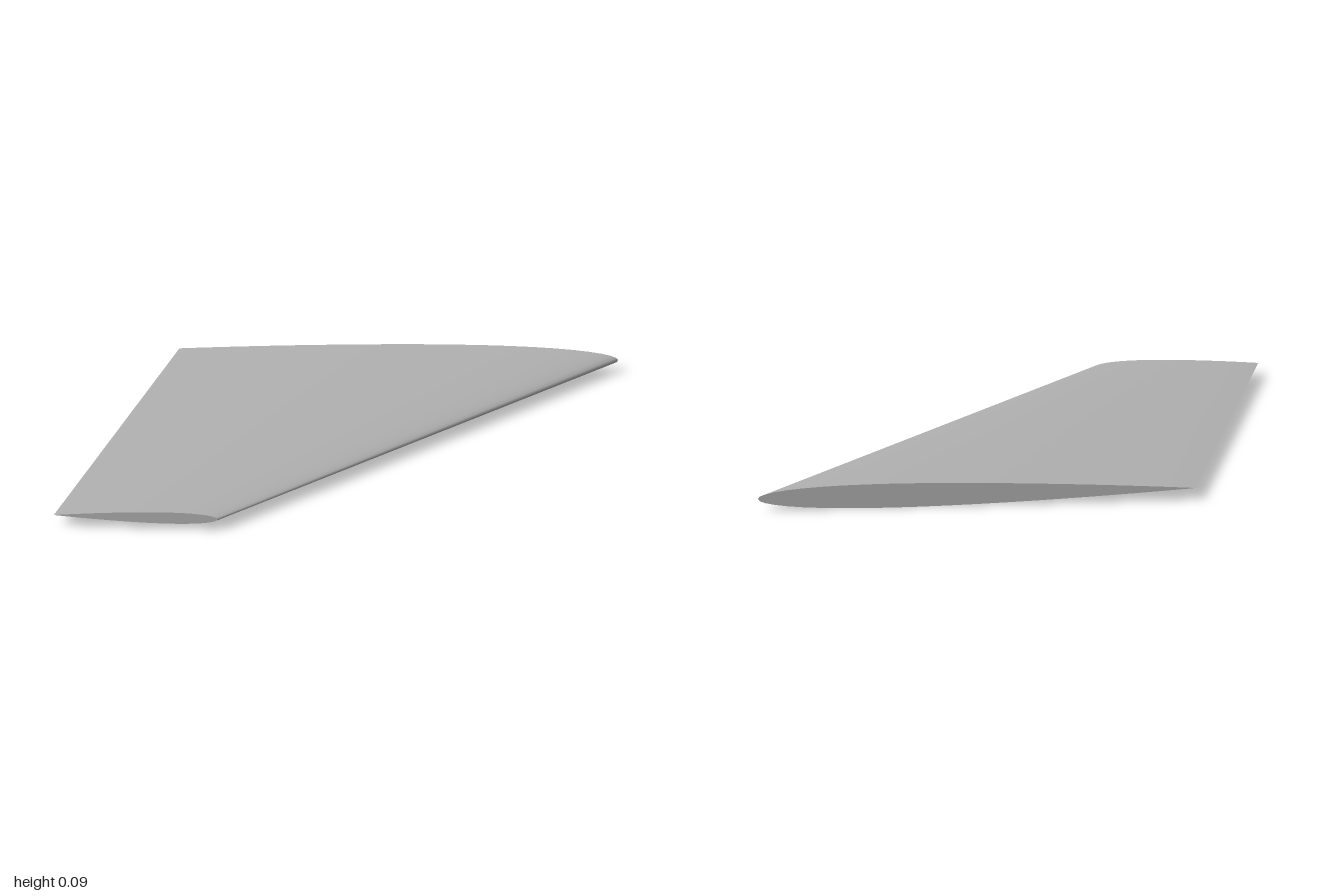
import * as THREE from 'three';

const N = 24; // segments along each side of the aerofoil
const MID_Y = 0.047;

// Symmetric aerofoil loop: trailing edge, over the top to the leading edge, back underneath
function section({ z, trail, lead, half }) {
  const points = [];
  for (let i = 0; i <= 2 * N; i++) {
    const t = (1 + Math.cos((Math.PI * i) / N)) / 2; // 0 at leading edge, 1 at trailing edge
    const y = 10 * (0.2969 * Math.sqrt(t) - 0.126 * t - 0.3516 * t ** 2 + 0.2843 * t ** 3 - 0.1036 * t ** 4);
    points.push([lead + (trail - lead) * t, MID_Y + (i <= N ? 1 : -1) * half * y, z]);
  }
  return points;
}

function build(points, index) {
  const geometry = new THREE.BufferGeometry();
  geometry.setAttribute('position', new THREE.Float32BufferAttribute(points.flat(), 3));
  geometry.setIndex(index);
  geometry.computeVertexNormals();
  return geometry;
}

// Flat end plate, fanned from the trailing edge
function cap(points, facesFront) {
  const index = [];
  for (let i = 1; i < 2 * N - 1; i++) index.push(0, ...(facesFront ? [i + 1, i] : [i, i + 1]));
  return build(points, index);
}

export function createModel() {
  const group = new THREE.Group();
  group.name = 'wing';
  const grey = new THREE.MeshStandardMaterial({ color: 0xb0b0b0 });
  grey.name = 'light grey';

  const root = section({ z: -0.777, trail: -0.635, lead: 1, half: 0.0465 / 1 });
  const tip = section({ z: 0.777, trail: -1, lead: -0.39, half: 0.0225 });

  // Smooth skin lofted from root to tip, open at the sharp trailing edge
  const index = [];
  const n = 2 * N + 1;
  for (let i = 0; i < 2 * N; i++) {
    index.push(i, n + i, n + i + 1, i, n + i + 1, i + 1);
  }

  const add = (name, geometry) => {
    const mesh = new THREE.Mesh(geometry, grey);
    mesh.name = name;
    group.add(mesh);
  };
  add('wingSkin', build([...root, ...tip], index));
  add('rootCap', cap(root, false));
  add('tipCap', cap(tip, true));
  return group;
}
